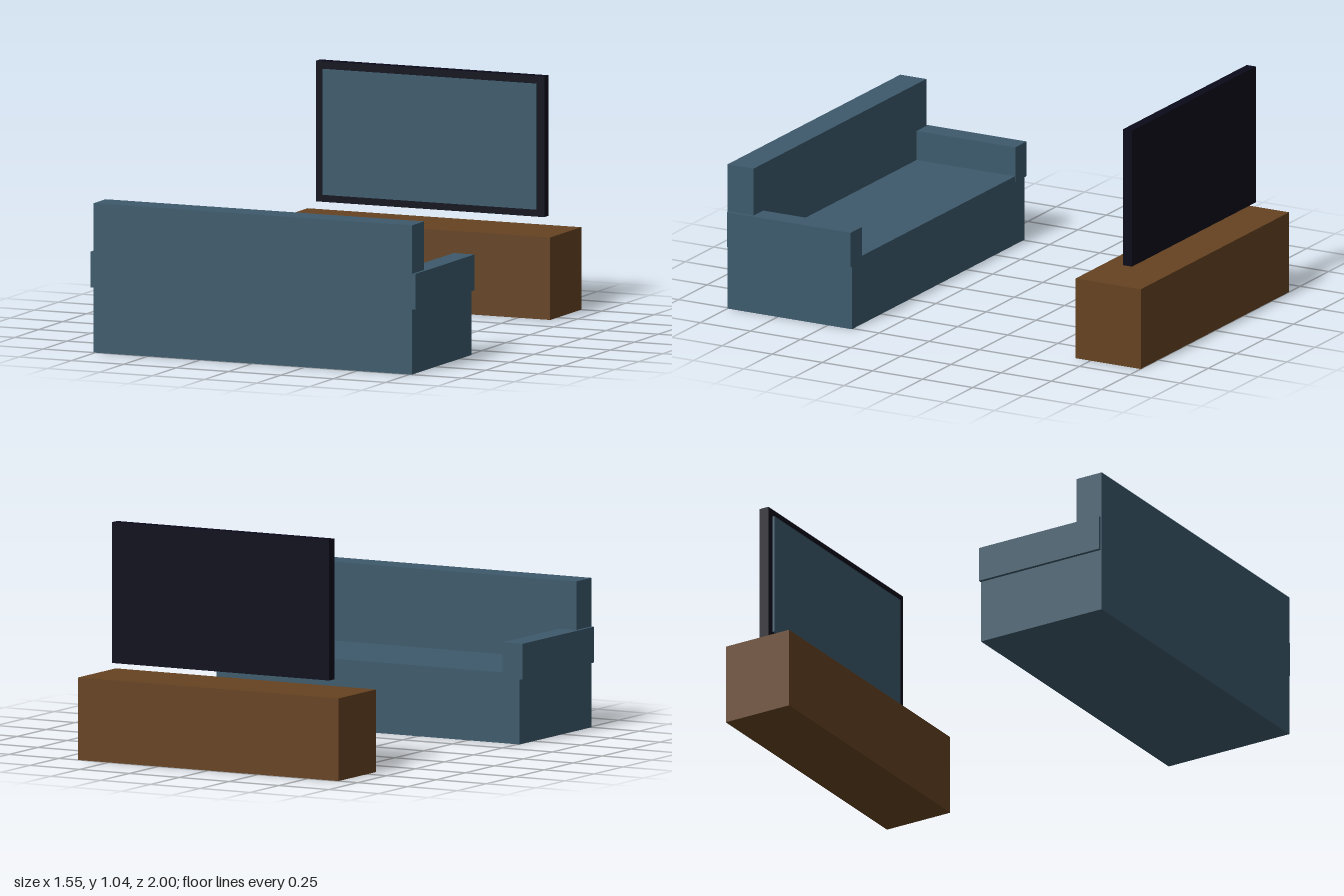
import * as THREE from 'three';

const material = (name, color) => {
  const m = new THREE.MeshStandardMaterial({ color });
  m.name = name;
  return m;
};

// Box given by its [min, max] extents on each axis
function block(name, mat, [x0, x1], [y0, y1], [z0, z1]) {
  const mesh = new THREE.Mesh(new THREE.BoxGeometry(x1 - x0, y1 - y0, z1 - z0), mat);
  mesh.position.set((x0 + x1) / 2, (y0 + y1) / 2, (z0 + z1) / 2);
  mesh.name = name;
  return mesh;
}

export function createModel() {
  const slateBlue = material('slate blue', 0x3d5a6c);
  const wood = material('brown wood', 0x654321);
  const nearBlack = material('near black', 0x0a0a1a);

  // Sofa, facing the television
  const sofa = new THREE.Group();
  sofa.name = 'sofa';
  sofa.add(
    block('sofaBase', slateBlue, [-0.76, 0.76], [0, 0.31], [0.38, 1]),
    block('backrest', slateBlue, [-0.76, 0.76], [0.31, 0.655], [0.87, 1]),
  );
  for (const [name, x] of [['leftArm', 0.725], ['rightArm', -0.725]]) {
    sofa.add(block(name, slateBlue, [x - 0.05, x + 0.05], [0.285, 0.442], [0.378, 0.995]));
  }

  // Low cabinet under the television
  const cabinet = block('cabinet', wood, [-0.653, 0.653], [0, 0.362], [-1, -0.675]);

  // Television floating above the cabinet
  const television = new THREE.Group();
  television.name = 'television';
  television.add(
    block('televisionBody', nearBlack, [-0.545, 0.545], [0.42, 1.037], [-0.895, -0.85]),
    block('screen', slateBlue, [-0.51, 0.51], [0.452, 1.004], [-0.85, -0.841]),
  );

  const model = new THREE.Group();
  model.name = 'livingRoomSet';
  model.add(sofa, cabinet, television);
  return model;
}
